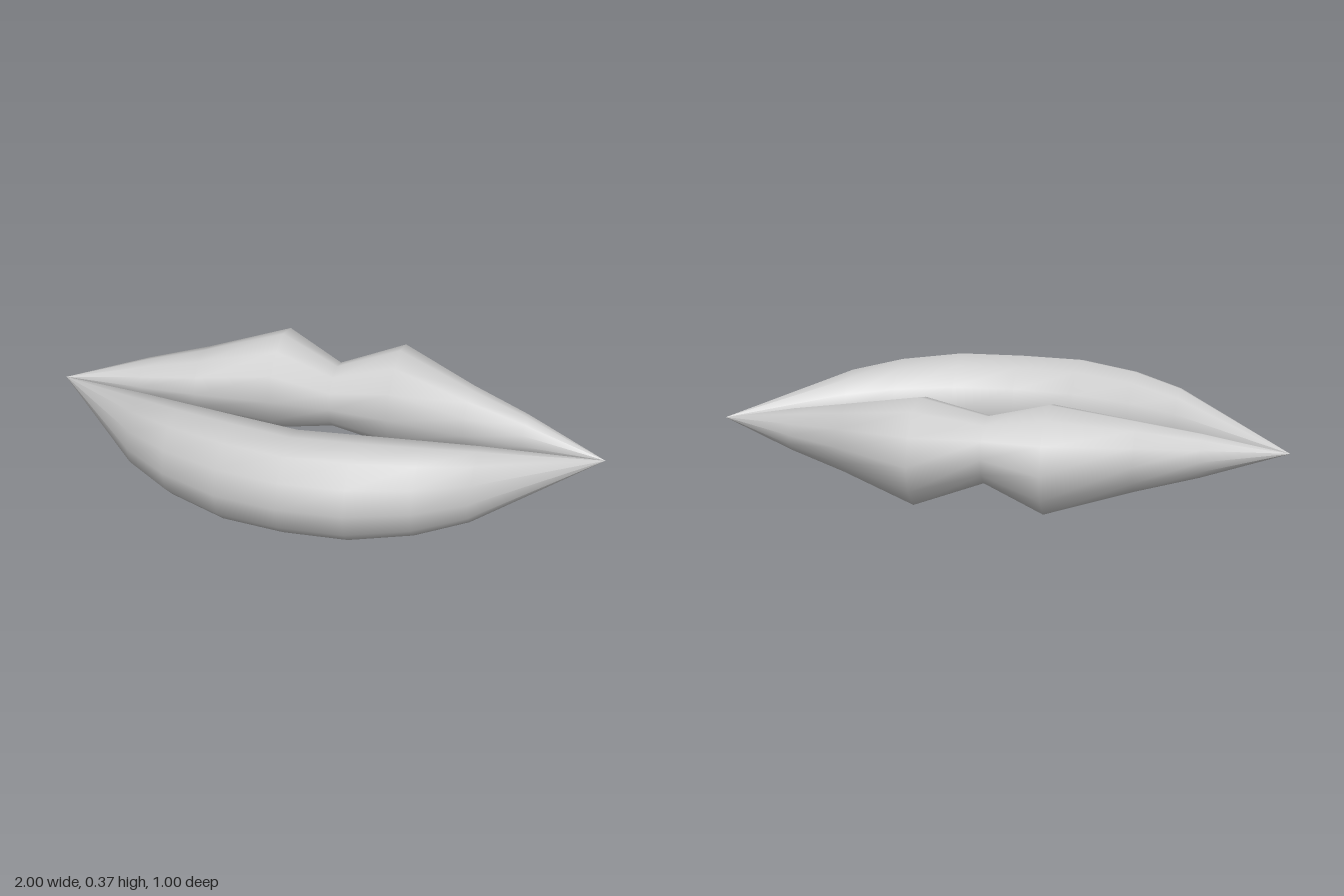
import * as THREE from 'three';

const SIDES = 12;
const CENTER_Y = 0.186;

// Half profiles from the middle to the corner: [x, inner z, outer z]
const LOWER = [[0, 0.15, 0.495], [0.22, 0.125, 0.475], [0.43, 0.085, 0.4], [0.6, 0.04, 0.295], [1, -0.095, -0.095]];
const UPPER = [[0, -0.143, -0.373], [0.22, -0.132, -0.5], [0.5, -0.109, -0.347], [0.71, -0.101, -0.25], [1, -0.095, -0.095]];

// Loft round cross-sections along x, mirrored about the middle
function lip(name, half, material) {
  const mirrored = half.slice(1).reverse().map(([x, a, b]) => [-x, a, b]);
  const stations = [...mirrored, ...half];
  const positions = [];
  const index = [];
  stations.forEach(([x, inner, outer], i) => {
    const mid = (inner + outer) / 2;
    const radius = Math.abs(outer - inner) / 2;
    const height = radius * 1.015;
    for (let j = 0; j < SIDES; j++) {
      const t = (j / SIDES) * Math.PI * 2;
      positions.push(x, CENTER_Y + Math.sin(t) * height, mid + Math.cos(t) * radius);
      if (i === stations.length - 1) continue;
      const k = (j + 1) % SIDES;
      const a = i * SIDES + j, b = a + SIDES;
      const d = i * SIDES + k, c = d + SIDES;
      // The end rings close to a point, so they need one triangle per side
      if (i < stations.length - 2) index.push(a, b, c);
      else index.push(a, b, d);
      if (i > 0 && i < stations.length - 2) index.push(a, c, d);
    }
  });
  const geometry = new THREE.BufferGeometry();
  geometry.setAttribute('position', new THREE.Float32BufferAttribute(positions, 3));
  geometry.setIndex(index);
  geometry.computeVertexNormals();
  const mesh = new THREE.Mesh(geometry, material);
  mesh.name = name;
  return mesh;
}

export function createModel() {
  const group = new THREE.Group();
  group.name = 'lips';
  const material = new THREE.MeshStandardMaterial({ color: 0xcccccc });
  group.add(lip('lowerLip', LOWER, material), lip('upperLip', UPPER, material));
  return group;
}
